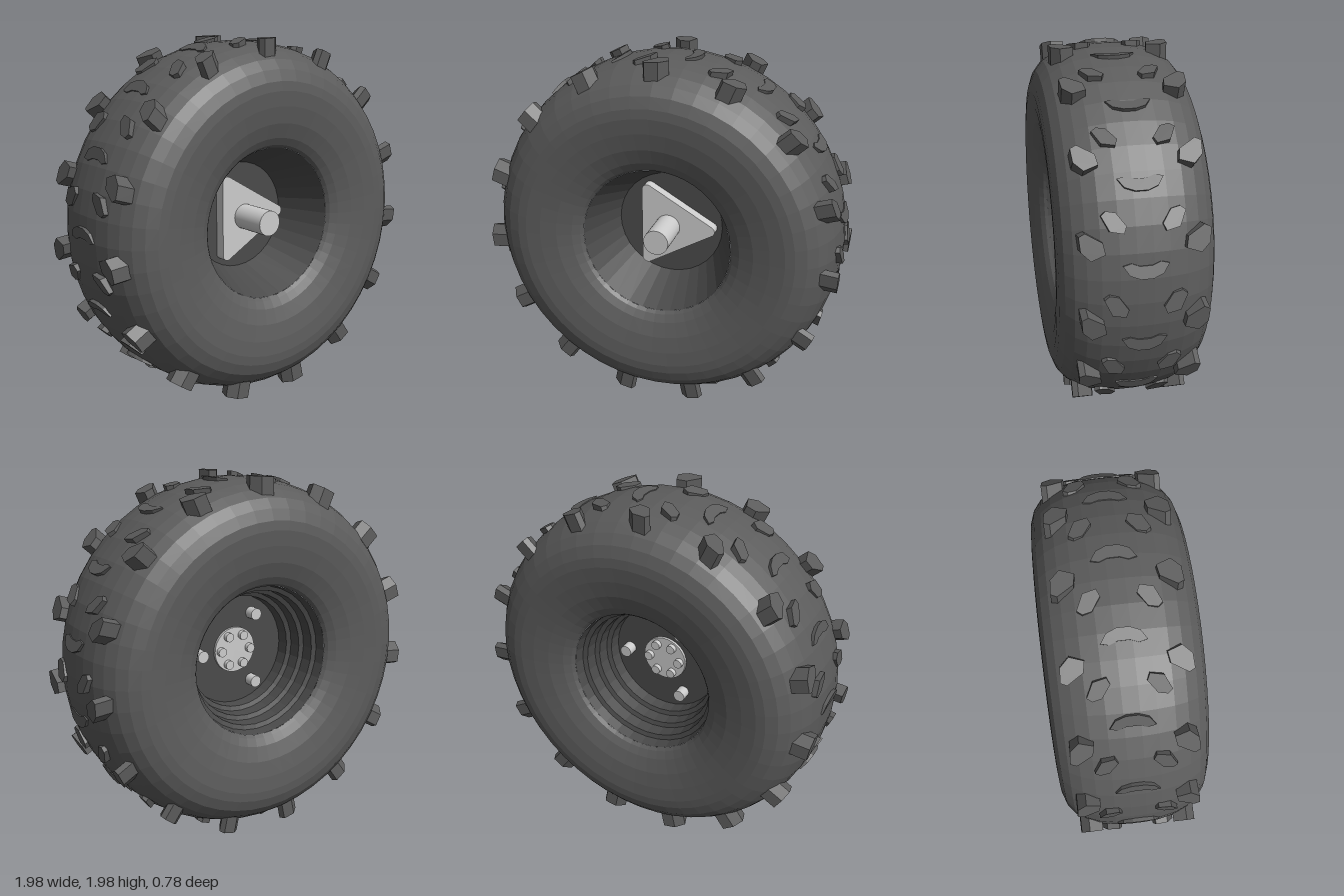
import * as THREE from 'three';

const rubber = new THREE.MeshStandardMaterial({ color: 0x5c5c5c, flatShading: true });
const rimPaint = new THREE.MeshStandardMaterial({ color: 0x4a4a4a, flatShading: true });
const metal = new THREE.MeshStandardMaterial({ color: 0xcccccc });

// Turned part about the z axis; profile is a list of [radius, z]
function turned(profile, segments) {
  const points = profile.map(([r, z]) => new THREE.Vector2(r, z));
  return new THREE.LatheGeometry(points, segments).rotateX(Math.PI / 2);
}

// Cylinder along z between two depths
function rod(radius, z0, z1, sides) {
  return new THREE.CylinderGeometry(radius, radius, z1 - z0, sides)
    .rotateX(Math.PI / 2).translate(0, 0, (z0 + z1) / 2);
}

// Tread lug: outline in (across, around), pushed out radially, with a top that may slope
function lugGeometry(outline, side, offset, base, top, slope) {
  const shape = new THREE.Shape(outline.map(([a, t]) => new THREE.Vector2(-side * (a + offset), t)));
  const geo = new THREE.ExtrudeGeometry(shape, { depth: 1, bevelEnabled: false });
  const pos = geo.attributes.position;
  for (let i = 0; i < pos.count; i++) {
    pos.setZ(i, pos.getZ(i) > 0.5 ? top - slope * pos.getY(i) : base);
  }
  geo.rotateY(Math.PI / 2);
  geo.computeVertexNormals();
  return geo;
}

export function createModel() {
  const model = new THREE.Group();
  const wheel = new THREE.Group();
  wheel.name = 'wheel';
  wheel.position.y = 1;
  model.add(wheel);

  const add = (name, geometry, material, parent = wheel) => {
    const mesh = new THREE.Mesh(geometry, material);
    mesh.name = name;
    parent.add(mesh);
    return mesh;
  };

  // Tyre: half section from rim bead to crown, mirrored
  const half = [[0.415, 0.3], [0.43, 0.318], [0.47, 0.342], [0.55, 0.37], [0.64, 0.386], [0.72, 0.392],
    [0.77, 0.387], [0.83, 0.365], [0.88, 0.325], [0.918, 0.27], [0.945, 0.205], [0.962, 0.12], [0.968, 0.04]];
  const section = [
    ...half.map(([r, z]) => [r, -z]),
    ...half.slice().reverse(),
  ];
  add('tyre', turned(section, 48), rubber);

  // Rim: smooth funnel in front, centre disc, stepped barrel behind
  add('rim', turned([
    [0.415, 0.3], [0.3, 0.02], [0, 0.02], [0, 0], [0.315, 0],
    [0.32, -0.07], [0.345, -0.08], [0.35, -0.15], [0.375, -0.16],
    [0.38, -0.23], [0.405, -0.24], [0.415, -0.3],
  ], 32), rimPaint);

  // Tread: three kinds of lug repeated around the tyre
  const outer = [[0.06, 0.05], [0.03, 0.065], [-0.05, 0.015], [-0.06, -0.04], [0.01, -0.065], [0.055, -0.02]];
  const middle = [[0.055, 0.035], [0.03, 0.055], [-0.015, 0.045], [-0.06, -0.02], [-0.045, -0.055], [0.02, -0.04]];
  const crescent = [[-0.11, 0.03], [-0.08, -0.015], [-0.03, -0.035], [0.03, -0.035], [0.08, -0.015],
    [0.11, 0.03], [0.07, 0.04], [0.03, 0.025], [-0.03, 0.025], [-0.07, 0.04]];
  const lugs = [['centreLug', lugGeometry(crescent, 1, 0, 0.9, 0.978, 0.25), 10]];
  for (const side of [1, -1]) {
    lugs.push(['outerLug', lugGeometry(outer, side, 0.25, 0.85, 0.985, 0.05), 18]);
    lugs.push(['middleLug', lugGeometry(middle, side, 0.145, 0.9, 0.976, 0.2), 24]);
  }
  const tread = new THREE.Group();
  tread.name = 'tread';
  wheel.add(tread);
  for (const [name, geometry, start] of lugs) {
    for (let i = 0; i < 15; i++) {
      const lug = add(name, geometry, rubber, tread);
      lug.rotation.z = THREE.MathUtils.degToRad(start + i * 24);
    }
  }

  // Triangular mounting plate with rounded corners
  const plate = new THREE.Shape();
  for (let i = 0; i < 3; i++) {
    const a = (i * 2 * Math.PI) / 3;
    plate.absarc(0.24 * Math.cos(a), 0.24 * Math.sin(a), 0.03, a - Math.PI / 3, a + Math.PI / 3, false);
  }
  const plateGeo = new THREE.ExtrudeGeometry(plate, { depth: 0.06, bevelEnabled: false, curveSegments: 6 });
  add('mountingPlate', plateGeo.translate(0, 0, 0.02), metal);

  // Axle in front, hub cap behind
  add('axle', rod(0.07, 0.05, 0.3, 32), metal);
  add('hubCap', rod(0.13, -0.015, 0.01, 32), metal);

  // Small bolts on the hub cap and three larger ones through the plate corners
  const boltRing = (name, count, ring, radius, depth) => {
    const geometry = rod(radius, -depth, 0.01, 16);
    for (let i = 0; i < count; i++) {
      const a = (i * 2 * Math.PI) / count;
      add(name, geometry, metal).position.set(ring * Math.cos(a), ring * Math.sin(a), 0);
    }
  };
  boltRing('hubBolt', 6, 0.093, 0.026, 0.04);
  boltRing('plateBolt', 3, 0.23, 0.034, 0.06);

  return model;
}
